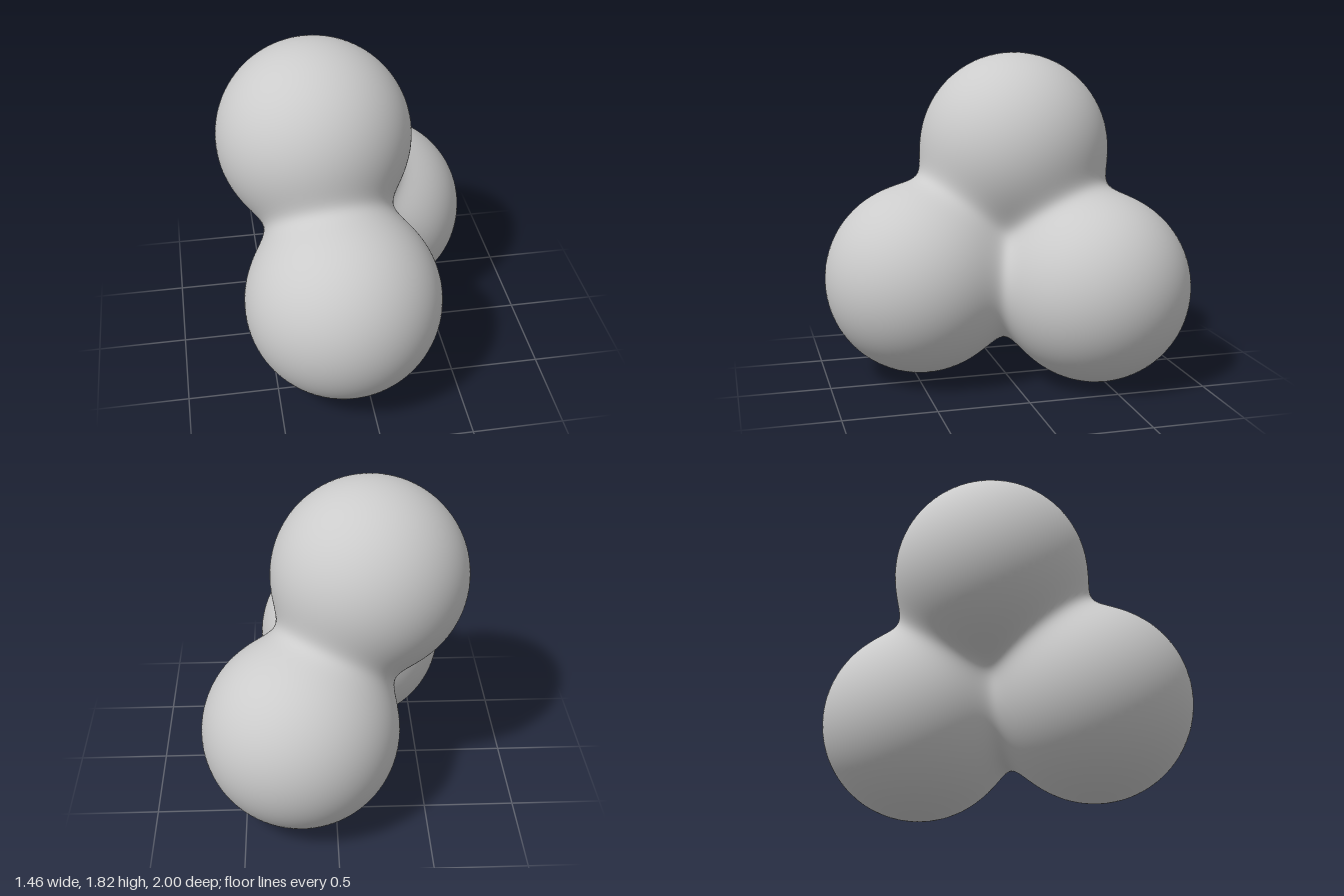
import * as THREE from 'three';

const RADIUS = 0.535;
const BLEND = 0.065;

// Centres of the three lobes: upper, front, rear
const LOBES = [
  new THREE.Vector3(-0.195, 1.285, -0.10),
  new THREE.Vector3(-0.12, 0.57, 0.465),
  new THREE.Vector3(0.19, 0.535, -0.465),
];

// Smoothly blended distance to the three spheres
function distance(p) {
  let sum = 0;
  for (const c of LOBES) sum += Math.exp(-(p.distanceTo(c) - RADIUS) / BLEND);
  return -BLEND * Math.log(sum);
}

// Surface direction: each lobe's outward direction, weighted by its nearness
function normalAt(p) {
  const n = new THREE.Vector3();
  for (const c of LOBES) {
    const d = p.distanceTo(c);
    n.addScaledVector(p.clone().sub(c).divideScalar(d), Math.exp(-(d - RADIUS) / BLEND));
  }
  return n.normalize();
}

// Point in the plane of the lobes at equal distance from all three
function sharedCentre() {
  const [a, b, c] = LOBES;
  const u = b.clone().sub(a), v = c.clone().sub(a), w = u.clone().cross(v);
  return v.clone().cross(w).multiplyScalar(u.lengthSq())
    .add(w.clone().cross(u).multiplyScalar(v.lengthSq()))
    .divideScalar(2 * w.lengthSq()).add(a);
}

export function createModel() {
  const group = new THREE.Group();
  group.name = 'lobedCluster';

  // Shrink a sphere inward onto the blended surface
  const geometry = new THREE.IcosahedronGeometry(1, 36);
  const pos = geometry.attributes.position;
  const nor = geometry.attributes.normal;
  const centre = sharedCentre();
  const dir = new THREE.Vector3(), p = new THREE.Vector3();
  for (let i = 0; i < pos.count; i++) {
    dir.fromBufferAttribute(pos, i).normalize();
    let t = 1.4;
    for (let step = 0; step < 120; step++) {
      const d = distance(p.copy(centre).addScaledVector(dir, t));
      if (d < 0.0004) break;
      t -= d;
    }
    pos.setXYZ(i, p.x, p.y, p.z);
    const n = normalAt(p);
    nor.setXYZ(i, n.x, n.y, n.z);
  }

  const body = new THREE.Mesh(geometry, new THREE.MeshStandardMaterial({ color: 0xcccccc }));
  body.name = 'blendedSpheres';
  group.add(body);
  return group;
}
